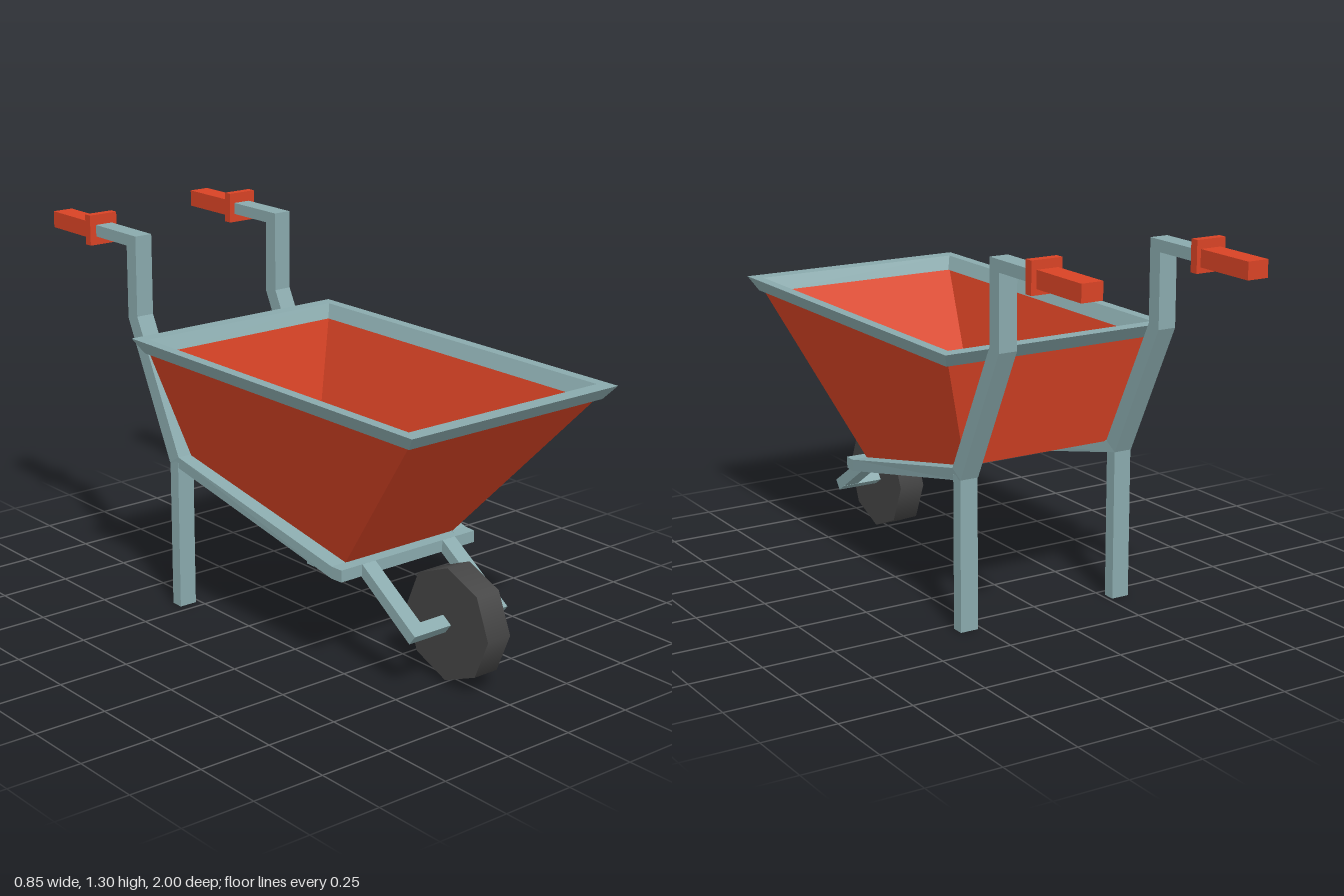
import * as THREE from 'three';

// Skin a list of four-corner rings with flat faces; optional end caps
function loft(rings, startCap = true, endCap = true) {
  const pos = [];
  const quad = (a, b, c, d) => pos.push(...a, ...b, ...c, ...a, ...c, ...d);
  for (let i = 0; i < rings.length - 1; i++) {
    const p = rings[i], q = rings[i + 1];
    for (let k = 0; k < 4; k++) {
      const n = (k + 1) % 4;
      quad(p[k], p[n], q[n], q[k]);
    }
  }
  const s = rings[0], e = rings[rings.length - 1];
  if (startCap) quad(s[3], s[2], s[1], s[0]);
  if (endCap) quad(e[0], e[1], e[2], e[3]);
  const g = new THREE.BufferGeometry();
  g.setAttribute('position', new THREE.Float32BufferAttribute(pos, 3));
  g.computeVertexNormals();
  return g;
}

// Bar section from an upper and a lower point in the side plane, at x with half width w
const section = (x, w, [zt, yt], [zb, yb]) =>
  [[x - w, yt, zt], [x + w, yt, zt], [x + w, yb, zb], [x - w, yb, zb]];

// Horizontal rectangle running front left, front right, back right, back left
const rect = (xf, yf, zf, xb = xf, yb = yf, zb = 0) =>
  [[-xf, yf, zf], [xf, yf, zf], [xb, yb, zb], [-xb, yb, zb]];

export function createModel() {
  const model = new THREE.Group();
  const mat = (name, color, side = THREE.FrontSide) => {
    const m = new THREE.MeshStandardMaterial({ color, side });
    m.name = name;
    return m;
  };
  const red = mat('red paint', 0xd84325, THREE.DoubleSide);
  const steel = mat('grey blue steel', 0x8aaaad);
  const rubber = mat('dark rubber', 0x454545);

  const add = (name, geometry, material, x = 0, y = 0, z = 0) => {
    const m = new THREE.Mesh(geometry, material);
    m.name = name;
    m.position.set(x, y, z);
    model.add(m);
    return m;
  };

  // Thin-walled tub with a sloping floor, open at the top
  add('tub', loft([
    rect(0.23, 0.37, 0.48, 0.28, 0.54, -0.272),
    rect(0.388, 0.905, 0.947, 0.388, 0.905, -0.353),
  ], true, false), red);

  // Flared rim, a closed band around the top of the tub
  const rimRing = (x, y, zf, zb) => rect(x, y, zf, x, y, zb);
  add('rim', loft([
    rimRing(0.4, 0.903, 0.96, -0.362),
    rimRing(0.425, 0.95, 1.0, -0.4),
    rimRing(0.388, 0.95, 0.945, -0.352),
    rimRing(0.366, 0.903, 0.916, -0.328),
    rimRing(0.4, 0.903, 0.96, -0.362),
  ], false, false), steel);

  // Bent rails from the front crossbar to the grips: x, upper point, lower point
  const railPath = [
    [0.252, [0.525, 0.37], [0.525, 0.33]],
    [0.255, [0.48, 0.371], [0.48, 0.33]],
    [0.2975, [-0.278, 0.544], [-0.328, 0.515]],
    [0.2975, [-0.503, 0.988], [-0.556, 0.975]],
    [0.2975, [-0.503, 1.265], [-0.556, 1.225]],
    [0.2975, [-0.75, 1.265], [-0.75, 1.225]],
  ];
  // Fork side profile, wheel end first
  const forkEnd = [[0.777, 0.205], [0.752, 0.173]];
  const forkTop = [[0.525, 0.37], [0.505, 0.338]];

  for (const s of [1, -1]) {
    const side = s > 0 ? 'left' : 'right';
    add(side + 'Rail', loft(railPath.map(([x, t, b]) => section(s * x, 0.0325, t, b))), steel);
    add(side + 'Leg', new THREE.BoxGeometry(0.064, 0.525, 0.044), steel, s * 0.2975, 0.2625, -0.304);
    add(side + 'Fork', loft([
      section(s * 0.171, 0.0275, ...forkEnd),
      section(s * 0.171, 0.0275, ...forkTop),
    ]), steel);
    add(side + 'GripCollar', new THREE.BoxGeometry(0.108, 0.105, 0.03), red, s * 0.2995, 1.248, -0.755);
    add(side + 'Grip', new THREE.BoxGeometry(0.075, 0.057, 0.235), red, s * 0.2975, 1.243, -0.8825);
  }

  // Front crossbar and tilted axle
  add('frontCrossbar', new THREE.BoxGeometry(0.5, 0.04, 0.045), steel, 0, 0.35, 0.502);
  add('axle', loft([
    section(0, 0.198, ...forkEnd),
    section(0, 0.198, [0.74, 0.229], [0.715, 0.197]),
  ]), steel);

  // Eight-sided wheel
  const tyre = new THREE.CylinderGeometry(0.19, 0.19, 0.094, 8);
  tyre.rotateZ(Math.PI / 2);
  add('wheel', tyre, rubber, 0, 0.2, 0.755);

  return model;
}
